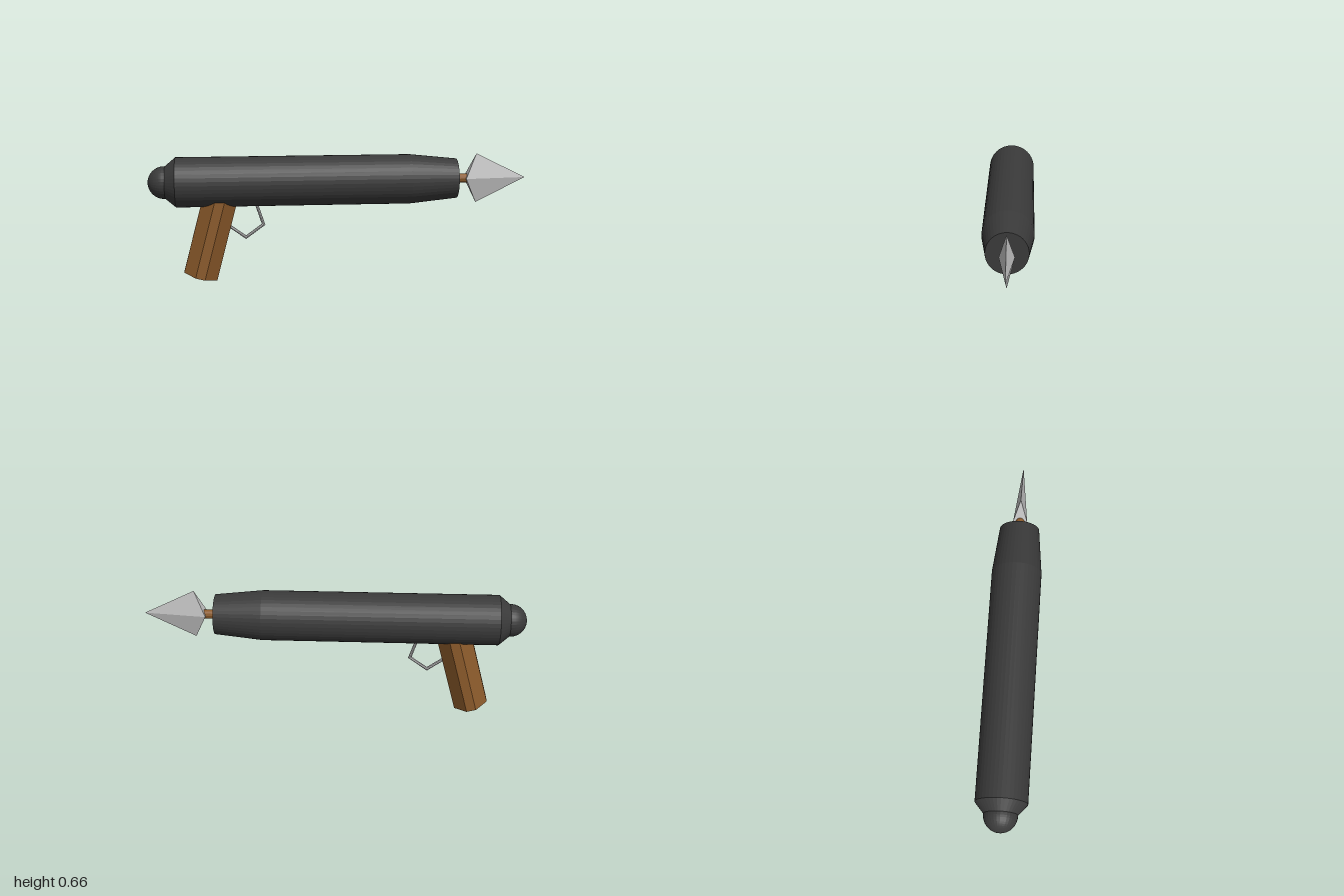
import * as THREE from 'three';

const AXIS_Y = 0.527; // height of the barrel's centre line

export function createModel() {
  const model = new THREE.Group();
  model.name = 'harpoonGun';

  const mat = (name, color, flatShading = true) => {
    const m = new THREE.MeshStandardMaterial({ color, flatShading });
    m.name = name;
    return m;
  };
  const black = mat('black metal', 0x3a3a3a);
  const wood = mat('brown wood', 0x8b5a2b);
  const silver = mat('silver steel', 0xc0c0c0);

  const add = (name, geometry, material, x, y, rotZ = 0) => {
    const mesh = new THREE.Mesh(geometry, material);
    mesh.name = name;
    mesh.position.set(x, y, 0);
    mesh.rotation.z = rotZ;
    model.add(mesh);
    return mesh;
  };

  // Barrel: turned profile (radius, distance along x) with chamfered back and tapered muzzle
  const profile = [
    [0, -0.91], [0.085, -0.91], [0.131, -0.855], [0.131, 0.375], [0.105, 0.626], [0, 0.626],
  ].map(([r, d]) => new THREE.Vector2(r, d));
  add('barrel', new THREE.LatheGeometry(profile, 40), black, 0, AXIS_Y, -Math.PI / 2);

  // Rounded knob at the back
  add('endKnob', new THREE.SphereGeometry(0.085, 32, 24), black, -0.915, AXIS_Y, -Math.PI / 2);

  // Grip: eight-sided prism leaning forward
  const a = 0.0895, b = 0.025;
  const section = new THREE.Shape(
    [[a, -b], [a, b], [b, a], [-b, a], [-a, b], [-a, -b], [-b, -a], [b, -a]]
      .map(([x, y]) => new THREE.Vector2(x, y)),
  );
  const grip = new THREE.ExtrudeGeometry(section, { depth: 0.48, bevelEnabled: false });
  grip.rotateX(-Math.PI / 2);
  add('grip', grip, wood, -0.738, 0.024, -Math.PI / 12);

  // Trigger guard: five-sided wire ring, its top hidden in the barrel and grip
  add('triggerGuard', new THREE.TorusGeometry(0.098, 0.01, 8, 5), silver, -0.495, 0.325, -Math.PI / 2);

  // Harpoon shaft
  add('harpoonShaft', new THREE.CylinderGeometry(0.024, 0.024, 0.2, 12), wood, 0.6, AXIS_Y, -Math.PI / 2);

  // Harpoon head: flat blade, its two barbs in front of the side corners
  const tip = [1, 0, 0], top = [0.735, 0.132, 0], bottom = [0.735, -0.132, 0];
  const left = [0.675, 0, 0.038], right = [0.675, 0, -0.038];
  const faces = [
    tip, top, left, tip, left, bottom, tip, right, top,
    tip, bottom, right, left, top, right, left, right, bottom,
  ];
  const head = new THREE.BufferGeometry();
  head.setAttribute('position', new THREE.Float32BufferAttribute(faces.flat(), 3));
  head.computeVertexNormals();
  add('harpoonHead', head, silver, 0, AXIS_Y);

  return model;
}
